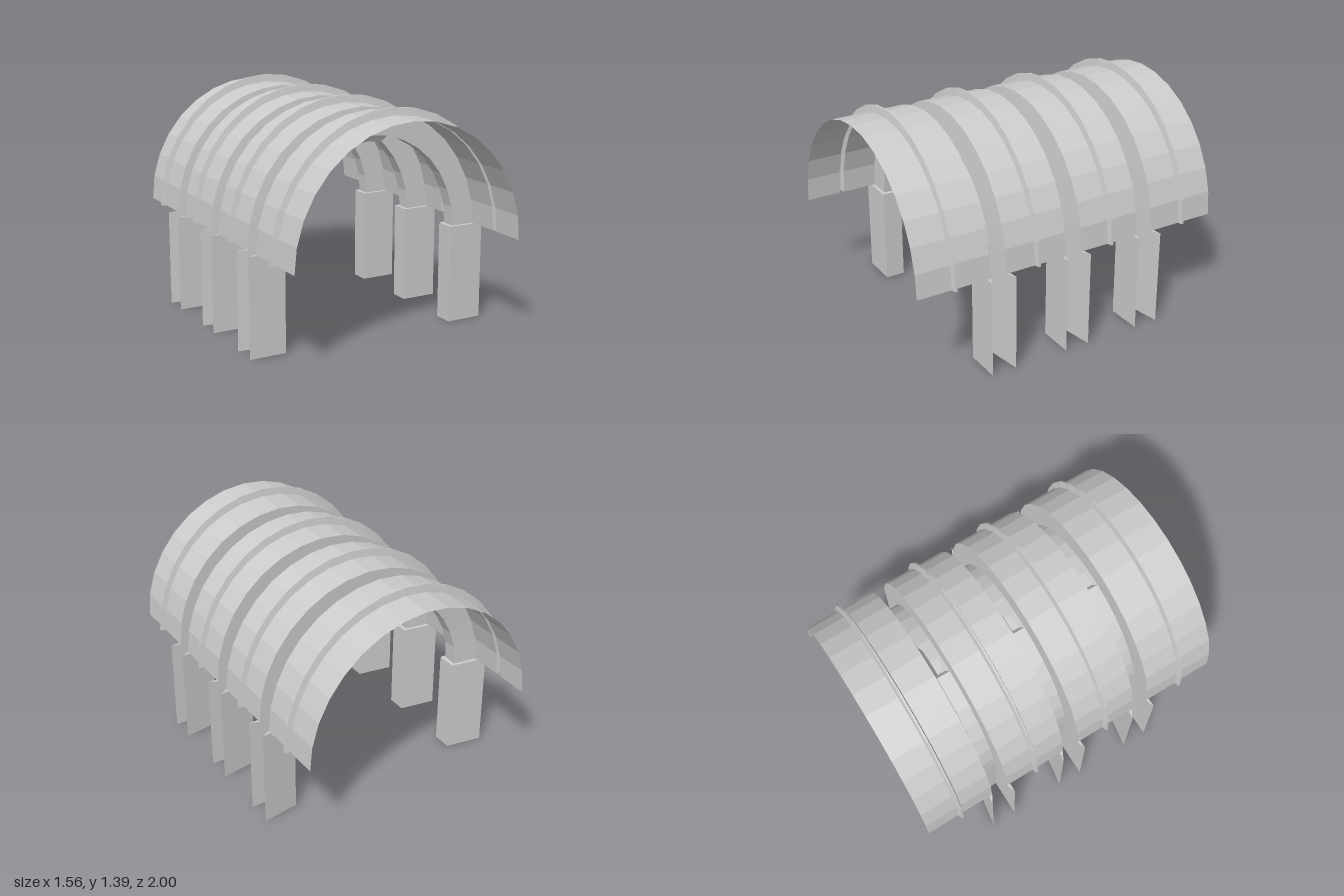
import * as THREE from 'three';

const SEGMENTS = 16; // facets around the half circle
const BASE = 0.595; // height where the vault springs from the pillars
const SHELL = [0.725, 0.75]; // x and y radii of each surface
const RIB = [0.755, 0.795];
const FLOOR = [0.58, 0.6];

const material = new THREE.MeshStandardMaterial({
  color: 0xcccccc, flatShading: true, side: THREE.DoubleSide,
});

// Turns a list of four-cornered faces into a mesh
function quadMesh(name, quads) {
  const pos = [];
  for (const [a, b, c, d] of quads) pos.push(...a, ...b, ...c, ...a, ...c, ...d);
  const geo = new THREE.BufferGeometry();
  geo.setAttribute('position', new THREE.Float32BufferAttribute(pos, 3));
  geo.computeVertexNormals();
  const mesh = new THREE.Mesh(geo, material);
  mesh.name = name;
  return mesh;
}

// Point i of the half circle, from +x over the top to -x
function arcPoint(i, [rx, ry], z) {
  const t = (Math.PI * i) / SEGMENTS;
  return [rx * Math.cos(t), BASE + ry * Math.sin(t), z];
}

// Sweeps a profile of [z, radii] over the half circle
function sweep(name, profile, skip = () => false) {
  const quads = [];
  for (let j = 0; j < profile.length - 1; j++) {
    const [z0, r0] = profile[j], [z1, r1] = profile[j + 1];
    for (let i = 0; i < SEGMENTS; i++) {
      if (skip(i, j)) continue;
      quads.push([arcPoint(i, r0, z0), arcPoint(i, r1, z1),
        arcPoint(i + 1, r1, z1), arcPoint(i + 1, r0, z0)]);
    }
  }
  return quadMesh(name, quads);
}

// Tapered pocket sunk into the two top facets of a groove floor
function recess(z) {
  const grid = [7, 8, 9].map((i) => {
    const x = (8 - i) * 0.085, y = i === 8 ? 1.157 : 1.147;
    return [arcPoint(i, FLOOR, z + 0.045), [x, y, z + 0.023],
      [x, y, z - 0.02], arcPoint(i, FLOOR, z - 0.04)];
  });
  const quads = [];
  for (let i = 0; i < 2; i++) {
    for (let j = 0; j < 3; j++) {
      quads.push([grid[i][j], grid[i][j + 1], grid[i + 1][j + 1], grid[i + 1][j]]);
    }
  }
  const [l, , r] = grid;
  quads.push([l[0], l[3], l[2], l[1]], [r[0], r[1], r[2], r[3]]);
  return quadMesh('keystoneRecess', quads);
}

// U-shaped pillar, open to the outside, with a narrow ledge around the arch foot
function pillar(name, side, z) {
  const outer = [[0.78, 0.065], [0.555, 0.065], [0.555, -0.055], [0.78, -0.09]];
  const foot = [[0.725, 0.045], [0.58, 0.045], [0.58, -0.04], [0.725, -0.06]];
  const at = ([x, dz], y) => [side * x, y, z + dz];
  const quads = [];
  for (let i = 0; i < 3; i++) {
    const a = outer[i], b = outer[i + 1];
    quads.push([at(a, 0), at(a, BASE), at(b, BASE), at(b, 0)]);
    quads.push([at(a, BASE), at(foot[i], BASE), at(foot[i + 1], BASE), at(b, BASE)]);
  }
  if (side < 0) quads.forEach((q) => q.reverse());
  return quadMesh(name, quads);
}

export function createModel() {
  const model = new THREE.Group();
  model.name = 'barrelVault';
  const grooves = [0.5, 0, -0.5];
  const ribs = [0.773, 0.24, -0.26, -0.78];

  // Vault bays, each with a thin raised rib
  ribs.forEach((z, k) => {
    const start = k === 0 ? 1 : grooves[k - 1] - 0.06;
    const end = k === 3 ? -1 : grooves[k] + 0.045;
    model.add(sweep('vaultBay', [
      [start, SHELL], [z + 0.015, SHELL], [z + 0.006, RIB],
      [z - 0.006, RIB], [z - 0.015, SHELL], [end, SHELL],
    ]));
  });

  // Sunken arches between the bays, standing on pillars
  for (const z of grooves) {
    model.add(sweep('sunkenArch', [
      [z + 0.045, SHELL], [z + 0.045, FLOOR], [z - 0.04, FLOOR], [z - 0.06, SHELL],
    ], (i, j) => j === 1 && (i === 7 || i === 8)));
    model.add(recess(z));
    model.add(pillar('leftPillar', 1, z), pillar('rightPillar', -1, z));
  }
  return model;
}
